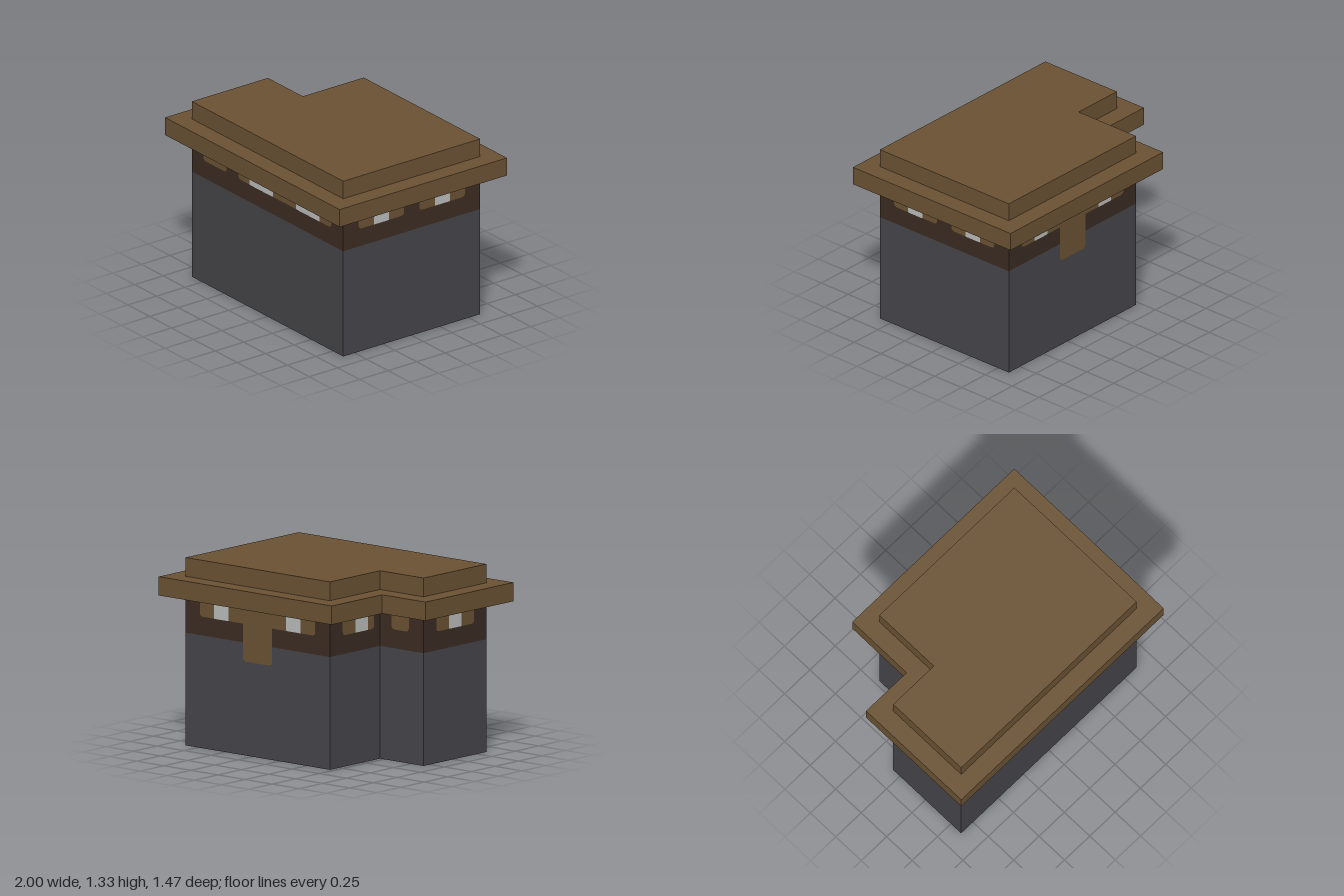
import * as THREE from 'three';

const U = 1 / 15; // building module: every part sits on this grid

const material = (name, color, side = THREE.FrontSide) => {
  const m = new THREE.MeshStandardMaterial({ color, side });
  m.name = name;
  return m;
};

// L-shaped footprint, grown outward by `grow`, extruded from y0 to y1
function storey(name, y0, y1, grow, mat) {
  const g = grow;
  const points = [
    [-13 * U - g, 9 * U + g], [13 * U + g, 9 * U + g], [13 * U + g, -9 * U - g],
    [-7 * U - g, -9 * U - g], [-7 * U - g, -U - g], [-13 * U - g, -U - g],
  ].map(([x, z]) => new THREE.Vector2(x, -z));
  const geometry = new THREE.ExtrudeGeometry(new THREE.Shape(points), { depth: y1 - y0, bevelEnabled: false });
  geometry.rotateX(-Math.PI / 2).translate(0, y0, 0);
  const mesh = new THREE.Mesh(geometry, mat);
  mesh.name = name;
  return mesh;
}

// Flat face hanging from y1 down to y0 with rounded lower corners
function hangingFace(name, u0, u1, y0, y1, radius, lift, mat) {
  const s = new THREE.Shape();
  s.moveTo(u0, y1);
  s.lineTo(u0, y0 + radius);
  s.quadraticCurveTo(u0, y0, u0 + radius, y0);
  s.lineTo(u1 - radius, y0);
  s.quadraticCurveTo(u1, y0, u1, y0 + radius);
  s.lineTo(u1, y1);
  const mesh = new THREE.Mesh(new THREE.ShapeGeometry(s, 4), mat);
  mesh.name = name;
  mesh.position.z = lift;
  return mesh;
}

export function createModel() {
  const model = new THREE.Group();
  model.name = 'building';
  const stone = material('grey stone', 0x454449);
  const darkWood = material('dark wood', 0x3a2b22);
  const wood = material('brown wood', 0x6a5133);
  const glass = material('pale window', 0xb9bcba);

  // Stacked storeys
  model.add(
    storey('stoneWalls', 0, 12 * U, 0, stone),
    storey('darkBand', 12 * U, 16 * U, 0, darkWood),
    storey('eaves', 16 * U, 18 * U, 2 * U, wood),
    storey('roof', 18 * U, 20 * U, 0, wood),
  );

  // Painted trim on each wall, in modules measured left to right facing that wall
  const walls = [
    { name: 'frontTrim', turn: 0, out: 9, trim: [[-11, -7], [-5, 11]], panes: [[-3, 1], [5, 9]] },
    { name: 'leftSideTrim', turn: 0.5, out: 13, trim: [[-7, -1], [1, 7]], panes: [[-5, -3], [3, 5]] },
    { name: 'backTrim', turn: 1, out: 9, trim: [[-11, 5]], panes: [[-9, -7], [1, 3]], drop: [-5, -1] },
    { name: 'notchBackTrim', turn: 1, out: 1, trim: [[8.6, 11]], panes: [] },
    { name: 'notchSideTrim', turn: -0.5, out: 7, trim: [[-7, -2]], panes: [[-5, -3]] },
    { name: 'rightSideTrim', turn: -0.5, out: 13, trim: [[1, 7]], panes: [[3, 5]] },
  ];
  for (const w of walls) {
    const wall = new THREE.Group();
    wall.name = w.name;
    wall.rotation.y = w.turn * Math.PI;
    const d = w.out * U;
    for (const [a, b] of w.trim) {
      wall.add(hangingFace('trimBoard', a * U, b * U, 14 * U, 16 * U, 0.03, d + 0.002, wood));
    }
    for (const [a, b] of w.panes) {
      wall.add(hangingFace('window', a * U, b * U, 14 * U, 16 * U, 0.008, d + 0.004, glass));
    }
    if (w.drop) {
      const [a, b] = w.drop;
      wall.add(hangingFace('hangingBoard', a * U, b * U, 10 * U, 14 * U, 0.03, d + 0.002, wood));
    }
    model.add(wall);
  }
  return model;
}
